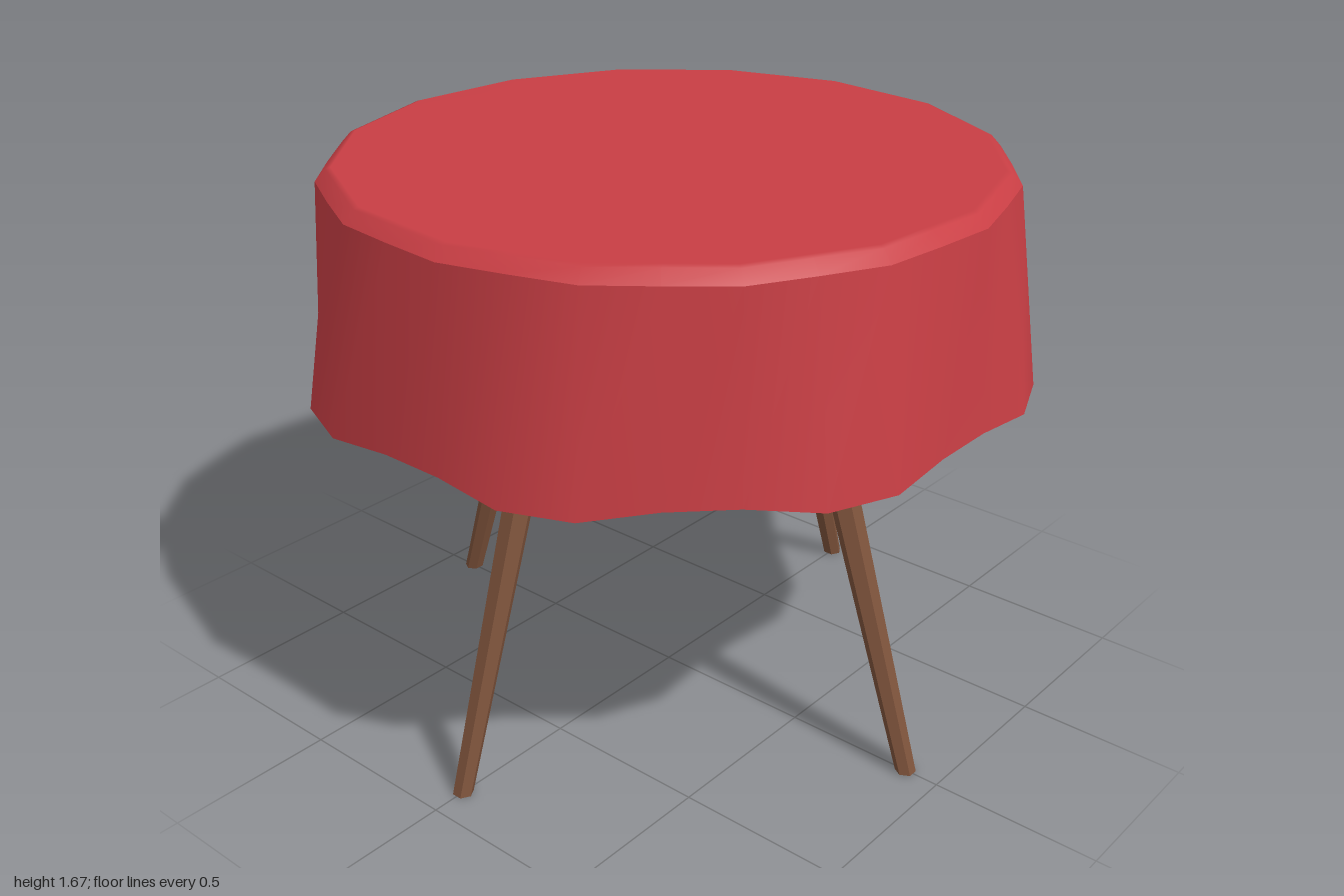
import * as THREE from 'three';
import { toCreasedNormals } from 'three/addons/utils/BufferGeometryUtils.js';

const SEG = 32;
const STEP = (Math.PI * 2) / SEG;
const angleOf = (i) => (i + 0.5) * STEP;

// Ring of 32 points: 16 corners, with mid-edge points pushed out by 'mid'
function topRing(radius, y, mid = Math.cos(STEP)) {
  return Array.from({ length: SEG }, (_, i) => {
    const r = i % 2 ? radius : radius * mid;
    return [r * Math.cos(angleOf(i)), y, r * Math.sin(angleOf(i))];
  });
}

// Wavy hem with eight folds
function hemRing() {
  return Array.from({ length: SEG }, (_, i) => {
    const a = angleOf(i);
    const fold = i % 4 === 1 || i % 4 === 2;
    const r = fold ? 1.045 : 1.0;
    return [r * Math.cos(a), fold ? 1.057 : 1.074, r * Math.sin(a)];
  });
}

// Smooth skin through a stack of rings
function loft(rings) {
  const index = [];
  for (let k = 0; k < rings.length - 1; k++) {
    for (let i = 0; i < SEG; i++) {
      const j = (i + 1) % SEG;
      const b = k * SEG, t = b + SEG;
      index.push(b + i, t + i, b + j, t + i, t + j, b + j);
    }
  }
  const geo = new THREE.BufferGeometry();
  geo.setAttribute('position', new THREE.Float32BufferAttribute(rings.flat(2), 3));
  geo.setIndex(index);
  geo.computeVertexNormals();
  return geo;
}

// Six-sided limb with level ends, leaning from (x0, y0) to (x1, y1)
function leaningLimb(x0, y0, r0, x1, y1, r1) {
  const h = y1 - y0;
  const geo = new THREE.CylinderGeometry(r1, r0, h, 6);
  const p = geo.attributes.position;
  for (let i = 0; i < p.count; i++) {
    const t = p.getY(i) / h + 0.5;
    p.setXYZ(i, p.getX(i) + x0 + (x1 - x0) * t, y0 + h * t, p.getZ(i));
  }
  return toCreasedNormals(geo, 0.5);
}

// Six-sided limb cut square to its own axis
function strut(x0, y0, r0, x1, y1, r1) {
  const geo = new THREE.CylinderGeometry(r1, r0, Math.hypot(x1 - x0, y1 - y0), 6);
  geo.rotateZ(Math.atan2(y1 - y0, x1 - x0) - Math.PI / 2);
  geo.translate((x0 + x1) / 2, (y0 + y1) / 2, 0);
  return toCreasedNormals(geo, 0.5);
}

// Flat round board
function disc(r, y0, y1, sides) {
  const geo = new THREE.CylinderGeometry(r, r, y1 - y0, sides);
  geo.translate(0, (y0 + y1) / 2, 0);
  return toCreasedNormals(geo, 0.5);
}

export function createModel() {
  const model = new THREE.Group();
  model.name = 'clothCoveredTable';

  const red = new THREE.MeshStandardMaterial({ name: 'red cloth', color: 0xc83e44, side: THREE.DoubleSide });
  const wood = new THREE.MeshStandardMaterial({ name: 'brown wood', color: 0x7e533b });
  const white = new THREE.MeshStandardMaterial({ name: 'pale board', color: 0xdadcdc });

  const add = (parent, name, geo, mat) => {
    const mesh = new THREE.Mesh(geo, mat);
    mesh.name = name;
    parent.add(mesh);
  };

  // Tablecloth: hanging skirt and softly bevelled top
  const rim = topRing(0.965, 1.63, 0.984);
  add(model, 'clothSkirt', loft([hemRing(), rim]), red);
  add(model, 'clothTop', loft([
    rim, topRing(0.935, 1.663), topRing(0.92, 1.668), topRing(0, 1.668),
  ]), red);

  // Table board under the cloth and the smaller shelf below it
  add(model, 'tableBoard', disc(0.915, 1.573, 1.635, 24), white);
  add(model, 'shelf', disc(0.48, 1.225, 1.285, 12), white);

  // Four forked legs
  const leg = leaningLimb(0.895, 0, 0.03, 0.522, 1.16, 0.05);
  const outer = leaningLimb(0.522, 1.16, 0.05, 0.68, 1.58, 0.042);
  const inner = strut(0.53, 1.12, 0.043, 0.3, 1.25, 0.034);
  for (let i = 0; i < 4; i++) {
    const group = new THREE.Group();
    group.name = 'leg' + (i + 1);
    add(group, 'legShaft', leg, wood);
    add(group, 'outerBranch', outer, wood);
    add(group, 'innerBranch', inner, wood);
    group.rotation.y = (i * Math.PI) / 2;
    model.add(group);
  }
  return model;
}
